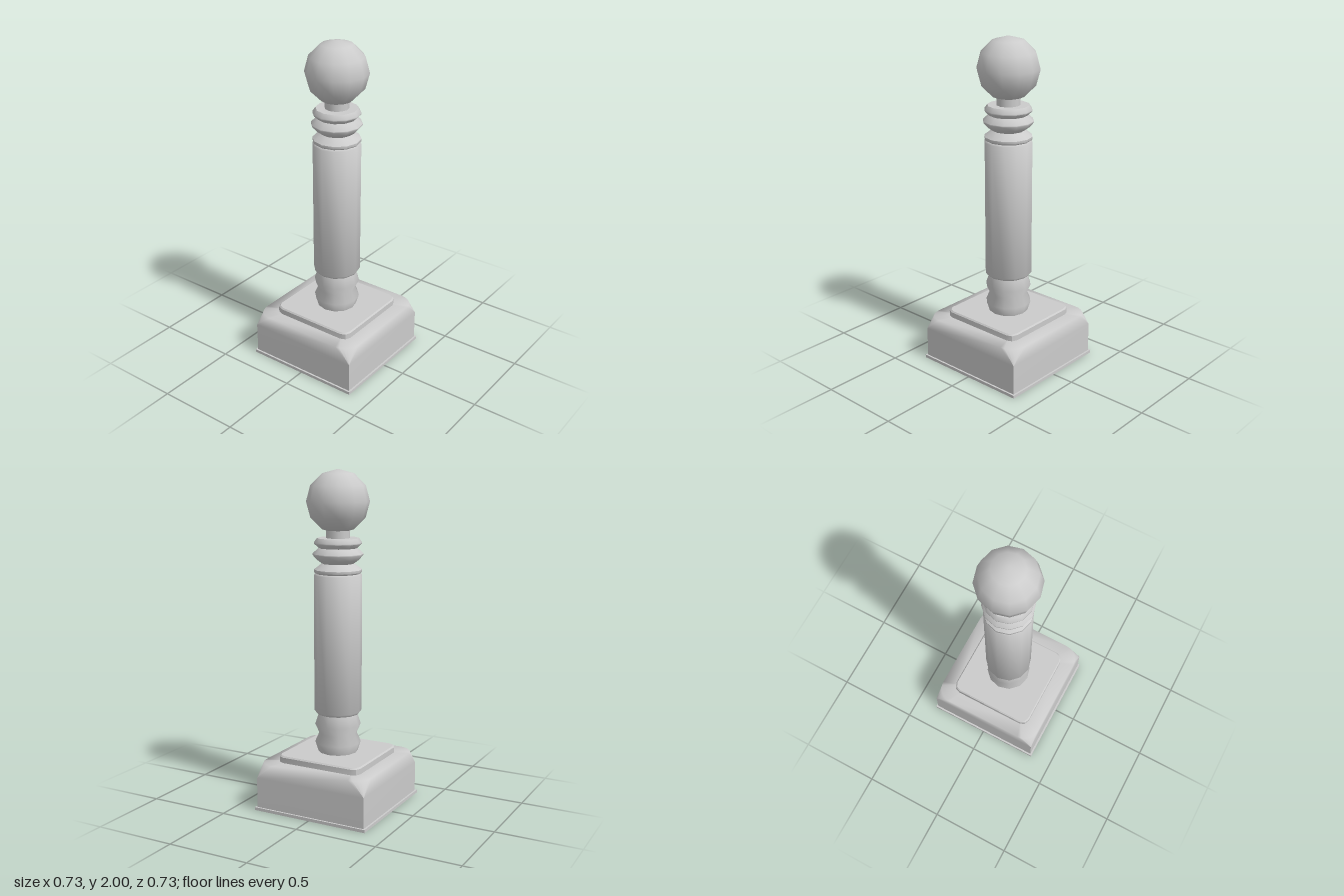
import * as THREE from 'three';
import { toCreasedNormals } from 'three/addons/utils/BufferGeometryUtils.js';

const SIDES = 12;
const material = new THREE.MeshStandardMaterial({ color: 0xcccccc });

// Skin over stacked rounded squares, each given as [y, halfWidth, cornerRadius]
function loft(rings, steps) {
  const position = [], index = [];
  const n = 4 * (steps + 1);
  for (const [y, half, r] of rings) {
    for (let q = 0; q < 4; q++) {
      const mid = (q + 0.5) * Math.PI / 2;
      const cx = Math.sign(Math.cos(mid)) * (half - r);
      const cz = Math.sign(Math.sin(mid)) * (half - r);
      for (let s = 0; s <= steps; s++) {
        const a = (q + s / steps) * Math.PI / 2;
        position.push(cx + r * Math.cos(a), y, cz + r * Math.sin(a));
      }
    }
  }
  for (let i = 0; i < rings.length - 1; i++) {
    for (let j = 0; j < n; j++) {
      const a = i * n + j, b = i * n + (j + 1) % n;
      index.push(a, a + n, b, b, a + n, b + n);
    }
  }
  const geometry = new THREE.BufferGeometry();
  geometry.setAttribute('position', new THREE.Float32BufferAttribute(position, 3));
  geometry.setIndex(index);
  geometry.computeVertexNormals();
  return geometry;
}

// Turned part from [radius, y] pairs, bottom to top
function turned(profile, crease) {
  const geometry = new THREE.LatheGeometry(profile.map(([r, y]) => new THREE.Vector2(r, y)), SIDES);
  return crease ? toCreasedNormals(geometry, crease) : geometry;
}

export function createModel() {
  const model = new THREE.Group();
  model.name = 'bollardPost';
  const add = (name, geometry, y = 0) => {
    const mesh = new THREE.Mesh(geometry, material);
    mesh.name = name;
    mesh.position.y = y;
    model.add(mesh);
  };

  // Square base: thin flange, block whose corners round off toward the top, plinth
  add('baseFlange', new THREE.BoxGeometry(0.73, 0.018, 0.73), 0.009);
  add('baseBlock', loft([
    [0.018, 0.354, 0], [0.2, 0.354, 0], [0.287, 0.352, 0.1], [0.287, 0.25, 0.04],
  ], 6));
  add('basePlinth', toCreasedNormals(loft([
    [0.28, 0.268, 0.045], [0.32, 0.268, 0.045], [0.328, 0.261, 0.042], [0.328, 0, 0],
  ], 2), 0.6));

  // Double-bulged foot
  add('foot', turned([
    [0.117, 0.32], [0.137, 0.385], [0.113, 0.44], [0.137, 0.495], [0.112, 0.57],
  ]));

  // Long shaft with softened ends
  add('shaft', turned([
    [0, 0.565], [0.13, 0.565], [0.141, 0.58], [0.141, 1.393], [0.13, 1.405], [0, 1.405],
  ], 0.9));

  // Collar of stacked rings
  add('collar', turned([
    [0.13, 1.4], [0.141, 1.41], [0.141, 1.425], [0.095, 1.46],
    [0.122, 1.48], [0.149, 1.51], [0.149, 1.517], [0.113, 1.55],
    [0.14, 1.575], [0.14, 1.582], [0.122, 1.607], [0, 1.607],
  ], 0.9));

  // Neck and ball finial
  add('neck', new THREE.CylinderGeometry(0.07, 0.07, 0.07, SIDES), 1.635);
  add('ballFinial', new THREE.SphereGeometry(0.184, SIDES, 6), 1.816);

  return model;
}
